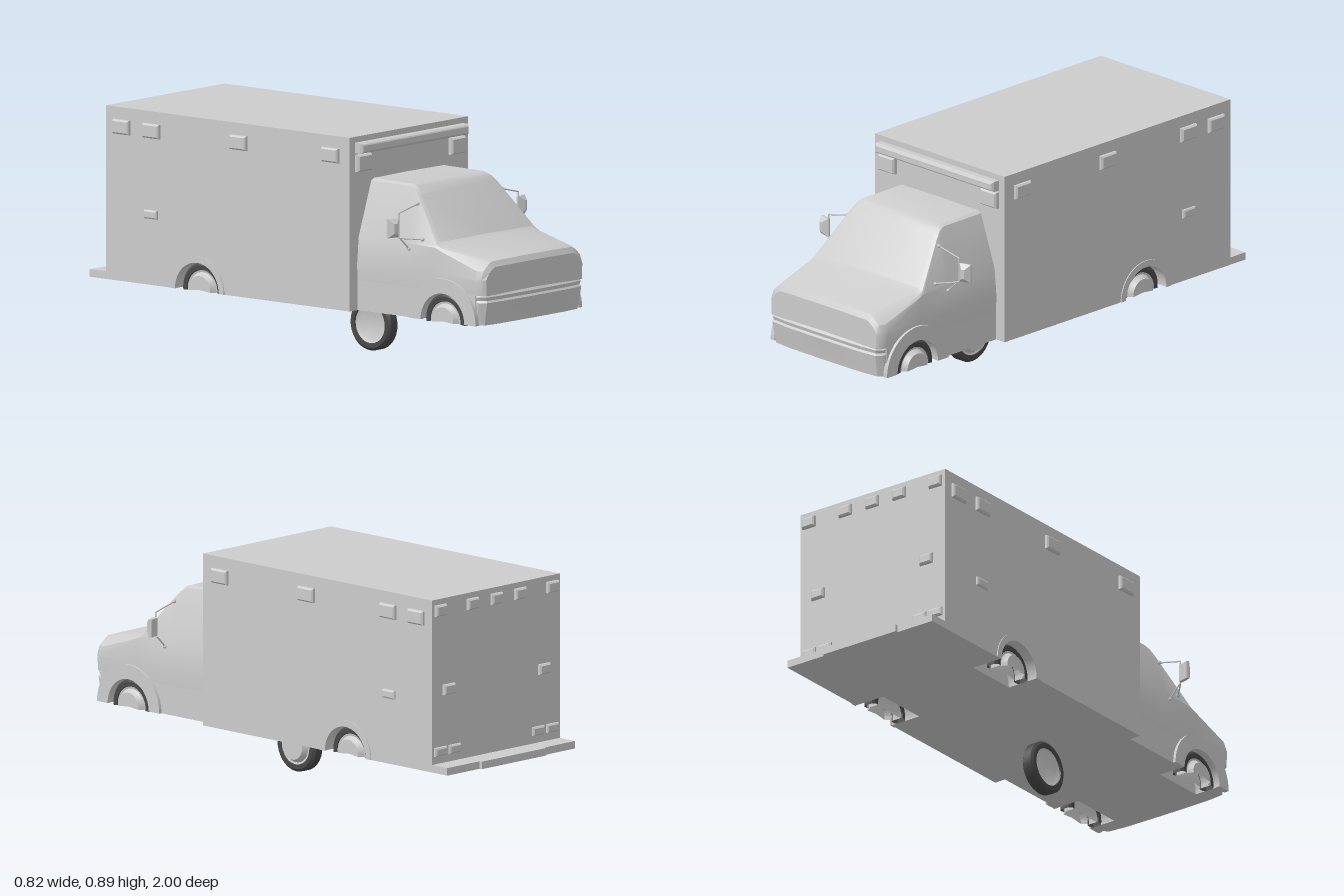
import * as THREE from 'three';
import { toCreasedNormals } from 'three/addons/utils/BufferGeometryUtils.js';

const paint = new THREE.MeshStandardMaterial({ color: 0xcccccc, side: THREE.DoubleSide });
paint.name = 'light grey';
const rubber = new THREE.MeshStandardMaterial({ color: 0x484848, side: THREE.DoubleSide });
rubber.name = 'dark rubber';

// Skin a list of closed rings and cap both ends
function loft(rings, crease = 0.5) {
  const n = rings[0].length, pos = rings.flat(2), idx = [];
  for (let i = 0; i < rings.length - 1; i++) {
    for (let j = 0; j < n; j++) {
      const a = i * n + j, b = i * n + (j + 1) % n;
      idx.push(a, a + n, b + n, a, b + n, b);
    }
  }
  const last = (rings.length - 1) * n;
  for (let k = 1; k < n - 1; k++) idx.push(0, k, k + 1, last, last + k + 1, last + k);
  const g = new THREE.BufferGeometry();
  g.setAttribute('position', new THREE.Float32BufferAttribute(pos, 3));
  g.setIndex(idx);
  return toCreasedNormals(g, crease);
}

// Complete a half outline across x = 0
const mirror = (half) => [...half, ...half.slice(1).reverse().map(([x, y, z]) => [-x, y, z])];

// Rounded-off block growing along +z; steps are [z, inset]
function block(w, h, steps) {
  return loft(steps.map(([z, s]) => {
    const x = w / 2 - s, y = h / 2 - s;
    return [[-x, y, z], [x, y, z], [x, -y, z], [-x, -y, z]];
  }), 0.3);
}

// Side wall with a wheel arch cut out, thickness running along +x
function archWall(zFront, zBack, y0, y1, zc, r, depth) {
  const s = new THREE.Shape();
  s.moveTo(-zFront, y0);
  s.lineTo(-zc - r, y0);
  s.absarc(-zc, y0, r, Math.PI, 0, true);
  s.lineTo(-zBack, y0);
  s.lineTo(-zBack, y1);
  s.lineTo(-zFront, y1);
  const g = new THREE.ExtrudeGeometry(s, { depth, bevelEnabled: false, curveSegments: 24 });
  return g.rotateY(Math.PI / 2);
}

// Half ring trim around a wheel arch
function archTrim(r0, r1, depth) {
  const s = new THREE.Shape();
  s.absarc(0, 0, r1, 0, Math.PI, false);
  s.absarc(0, 0, r0, Math.PI, 0, true);
  return new THREE.ExtrudeGeometry(s, { depth, bevelEnabled: false, curveSegments: 24 }).rotateY(Math.PI / 2);
}

export function createModel() {
  const model = new THREE.Group();
  model.name = 'ambulance';

  const add = (name, geo, mat = paint, x = 0, y = 0, z = 0, ry = 0, parent = model) => {
    const m = new THREE.Mesh(geo, mat);
    m.name = name;
    m.position.set(x, y, z);
    m.rotation.y = ry;
    parent.add(m);
    return m;
  };
  const box = (name, x0, x1, y0, y1, z0, z1) =>
    add(name, new THREE.BoxGeometry(x1 - x0, y1 - y0, z1 - z0), paint, (x0 + x1) / 2, (y0 + y1) / 2, (z0 + z1) / 2);
  const rod = (name, a, b, r = 0.003) => {
    const p = new THREE.Vector3(...a), q = new THREE.Vector3(...b), d = q.clone().sub(p);
    const m = add(name, new THREE.CylinderGeometry(r, r, d.length(), 6));
    m.position.copy(p).add(q).multiplyScalar(0.5);
    m.quaternion.setFromUnitVectors(new THREE.Vector3(0, 1, 0), d.normalize());
  };

  // Patient box, chassis core and rear step
  box('boxCore', -0.22, 0.22, 0.21, 0.895, -0.905, 0.345);
  box('cabCore', -0.2, 0.2, 0.21, 0.34, 0.34, 0.95);
  box('rearStep', -0.355, 0.355, 0.21, 0.24, -0.988, -0.9);
  box('rearStepCentre', -0.185, 0.175, 0.21, 0.24, -1, -0.985);

  // Cab shell: z, roof y, roof half width, belt y, belt half width, sill half width
  const cab = [
    [0.345, 0.718, 0.225, 0.5, 0.3, 0.307],
    [0.55, 0.716, 0.225, 0.5, 0.3, 0.307],
    [0.575, 0.706, 0.229, 0.5, 0.3, 0.307],
    [0.6, 0.682, 0.237, 0.5, 0.3, 0.307],
    [0.74, 0.512, 0.294, 0.495, 0.3, 0.307],
    [0.765, 0.5, 0.293, 0.485, 0.302, 0.307],
    [0.95, 0.465, 0.262, 0.425, 0.3, 0.306],
    [0.975, 0.457, 0.256, 0.425, 0.288, 0.297],
    [0.988, 0.435, 0.252, 0.415, 0.27, 0.285],
  ];
  add('cabShell', loft(cab.map(([z, ty, tw, by, bw, sw]) => mirror([
    [0, ty + 0.004, z], [tw * 0.93, ty + 0.002, z], [tw, ty - 0.006, z],
    [bw, by, z], [Math.max(sw + 0.003, bw), 0.39, z], [sw, 0.328, z],
  ])), 0.4));

  // Wrap-around front bumper: y, forward offset, side offset
  const bumper = [[0.21, -0.018, -0.004], [0.3, -0.002, 0], [0.308, -0.008, -0.004], [0.322, -0.004, 0], [0.332, -0.012, -0.005]];
  add('frontBumper', loft(bumper.map(([y, dz, dx]) => mirror([
    [0, y, 1 + dz], [-0.2 - dx, y, 0.998 + dz], [-0.282 - dx, y, 0.99 + dz],
    [-0.302 - dx, y, 0.965 + dz], [-0.308 - dx, y, 0.92],
  ]))));

  // Wheel profiles: radius, distance along the axle
  const v = (list) => list.map(([r, a]) => new THREE.Vector2(r, a));
  const tyreProfile = v([[0.074, -0.018], [0.078, -0.027], [0.095, -0.027], [0.105, -0.018], [0.105, 0.018], [0.095, 0.027], [0.078, 0.027], [0.074, 0.018]]);
  const rimProfile = v([[0, -0.015], [0.06, -0.015], [0.076, -0.022], [0.076, 0.024], [0.068, 0.022], [0.062, 0.03], [0.055, 0.043], [0, 0.043]]);
  const wheel = (name, x, y, z, ry, start, length) => {
    const g = new THREE.Group();
    g.name = name;
    for (const [part, profile, mat] of [['tyre', tyreProfile, rubber], ['rim', rimProfile, paint]]) {
      const geo = toCreasedNormals(new THREE.LatheGeometry(profile, 36, start, length).rotateZ(-Math.PI / 2), 0.5);
      add(part, geo, mat, 0, 0, 0, 0, g);
    }
    g.position.set(x, y, z);
    g.rotation.y = ry;
    model.add(g);
  };
  wheel('lowerWheel', -0.01, 0.105, 0.175, 0, 0, Math.PI * 2);

  const boxWall = archWall(0.345, -0.905, 0.21, 0.895, -0.435, 0.115, 0.135);
  const cabWall = archWall(0.95, 0.345, 0.21, 0.33, 0.79, 0.115, 0.107);
  const rearTrim = archTrim(0.112, 0.138, 0.006);
  const frontTrim = archTrim(0.112, 0.17, 0.02);

  // Lamps share one pillow shape
  const lamp = (name, w, h, d, x, y, z, ry = 0) =>
    add(name, block(w, h, [[-0.002, 0], [d * 0.6, 0.001], [d, 0.007]]), paint, x, y, z, ry);

  for (const s of [1, -1]) {
    const side = s > 0 ? 'left' : 'right';
    const face = s * Math.PI / 2;
    // Lower walls and arch trims
    add(side + 'BoxWall', boxWall, paint, s > 0 ? 0.22 : -0.355);
    add(side + 'CabWall', cabWall, paint, s > 0 ? 0.2 : -0.307);
    add(side + 'RearArchTrim', rearTrim, paint, s > 0 ? 0.353 : -0.359, 0.21, -0.435);
    add(side + 'FrontArchTrim', frontTrim, paint, s > 0 ? 0.299 : -0.319, 0.21, 0.79);

    // Half wheels inside the arches
    const ry = s > 0 ? 0 : Math.PI;
    wheel(side + 'RearWheel', s * 0.3, 0.213, -0.435, ry, Math.PI - 0.1, Math.PI + 0.2);
    wheel(side + 'FrontWheel', s * 0.275, 0.213, 0.79, ry, Math.PI - 0.1, Math.PI + 0.2);

    // Side lamps
    for (const z of [0.25, -0.222, -0.668, -0.822]) lamp(side + 'SideLamp', 0.086, 0.058, 0.015, s * 0.355, 0.818, z, face);
    lamp(side + 'SideMarker', 0.068, 0.036, 0.01, s * 0.355, 0.488, -0.672, face);

    // Front scene lamps
    lamp(side + 'FrontLamp', 0.088, 0.068, 0.02, s * 0.28, 0.79, 0.345);

    // Rear lamps
    for (const x of [0.31, 0.132]) lamp(side + 'RearTopLamp', 0.062, 0.045, 0.015, s * x, 0.85, -0.905, Math.PI);
    lamp(side + 'RearMidLamp', 0.062, 0.042, 0.015, s * 0.265, 0.53, -0.905, Math.PI);
    for (const x of [0.31, 0.232]) lamp(side + 'RearLowLamp', 0.066, 0.036, 0.012, s * x, 0.288, -0.905, Math.PI);

    // Door mirror with its frame of rods
    add(side + 'Mirror', block(0.05, 0.075, [[-0.012, 0.002], [0, 0], [0.014, 0.014], [0.018, 0.018]]), paint, s * 0.385, 0.568, 0.595, s * 0.25);
    rod(side + 'MirrorUpperArm', [s * 0.25, 0.65, 0.605], [s * 0.358, 0.624, 0.6]);
    rod(side + 'MirrorPost', [s * 0.358, 0.624, 0.6], [s * 0.358, 0.525, 0.6]);
    rod(side + 'MirrorLowerArm', [s * 0.292, 0.52, 0.67], [s * 0.358, 0.526, 0.6]);
    rod(side + 'MirrorBrace', [s * 0.3, 0.476, 0.605], [s * 0.352, 0.526, 0.6]);
    for (const [x, y, z] of [[0.252, 0.65, 0.605], [0.295, 0.52, 0.668], [0.302, 0.478, 0.605]]) {
      add(side + 'MirrorMount', new THREE.SphereGeometry(0.008, 8, 6), paint, s * x, y, z);
    }
  }
  lamp('rearCentreLamp', 0.062, 0.045, 0.015, 0, 0.85, -0.905, Math.PI);

  // Long light bar above the cab
  add('lightBar', block(0.645, 0.042, [[-0.002, 0], [0.025, 0], [0.035, 0.005], [0.038, 0.01]]), paint, 0, 0.851, 0.345);

  return model;
}
